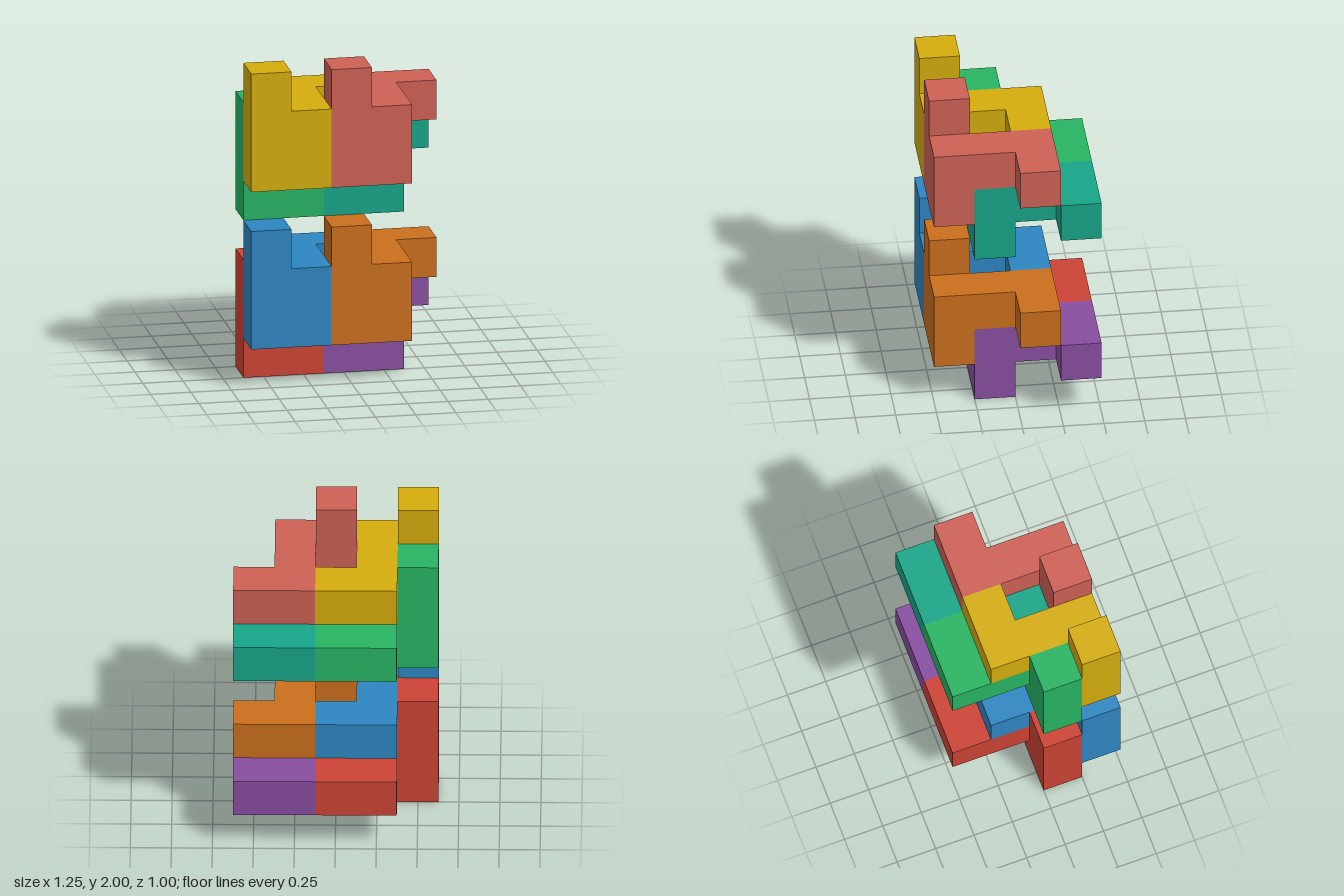
import * as THREE from 'three';
import { mergeGeometries } from 'three/addons/utils/BufferGeometryUtils.js';

const U = 0.25; // edge of one cube

// Cube positions [x, y, z] of the four pieces in one layer; x from the right, z from the back
const PIECES = {
  leftBasePiece: [
    [2, 0, 2], [3, 0, 2], [2, 1, 2], [3, 1, 2], [3, 1, 1], [3, 1, 0], [4, 1, 0],
  ],
  rightBasePiece: [
    [0, 0, 2], [1, 0, 2], [0, 1, 2], [0, 2, 2], [1, 1, 2], [1, 1, 1], [1, 1, 0], [2, 1, 0],
  ],
  leftTopPiece: [
    [2, 1, 3], [3, 1, 3], [2, 2, 3], [3, 2, 3], [2, 3, 3], [3, 2, 2], [3, 2, 1], [4, 2, 1],
  ],
  rightTopPiece: [
    [0, 1, 3], [1, 1, 3], [0, 2, 3], [1, 2, 3], [0, 3, 3], [1, 2, 2], [1, 2, 1], [2, 2, 1],
  ],
};

const LAYERS = [
  { name: 'lowerLayer', y: 0, colors: [0x884ea0, 0xcb4335, 0xca6f1e, 0x2e86c1] },
  { name: 'upperLayer', y: 1, colors: [0x17a589, 0x28b463, 0xcd6155, 0xd4ac0d] },
];

// Outward directions with the rotation that turns a +z plane towards them
const SIDES = [
  [[0, 0, 1], 0, 0], [[0, 0, -1], 0, Math.PI],
  [[1, 0, 0], 0, Math.PI / 2], [[-1, 0, 0], 0, -Math.PI / 2],
  [[0, 1, 0], -Math.PI / 2, 0], [[0, -1, 0], Math.PI / 2, 0],
];

// Joins cubes into one solid, keeping only faces with no neighbour in the same piece
function cubesGeometry(cells) {
  const filled = new Set(cells.map(String));
  const faces = [];
  for (const [x, y, z] of cells) {
    for (const [[dx, dy, dz], rx, ry] of SIDES) {
      if (filled.has(String([x + dx, y + dy, z + dz]))) continue;
      faces.push(new THREE.PlaneGeometry(U, U).rotateX(rx).rotateY(ry).translate(
        (x - 2 + dx / 2) * U,
        (y + 0.5 + dy / 2) * U,
        (z - 1.5 + dz / 2) * U,
      ));
    }
  }
  return mergeGeometries(faces);
}

export function createModel() {
  const model = new THREE.Group();
  model.name = 'interlockingCubePuzzle';
  for (const { name, y, colors } of LAYERS) {
    const layer = new THREE.Group();
    layer.name = name;
    layer.position.y = y;
    Object.entries(PIECES).forEach(([pieceName, cells], i) => {
      const material = new THREE.MeshStandardMaterial({ color: colors[i] });
      const piece = new THREE.Mesh(cubesGeometry(cells), material);
      piece.name = pieceName;
      layer.add(piece);
    });
    model.add(layer);
  }
  return model;
}
